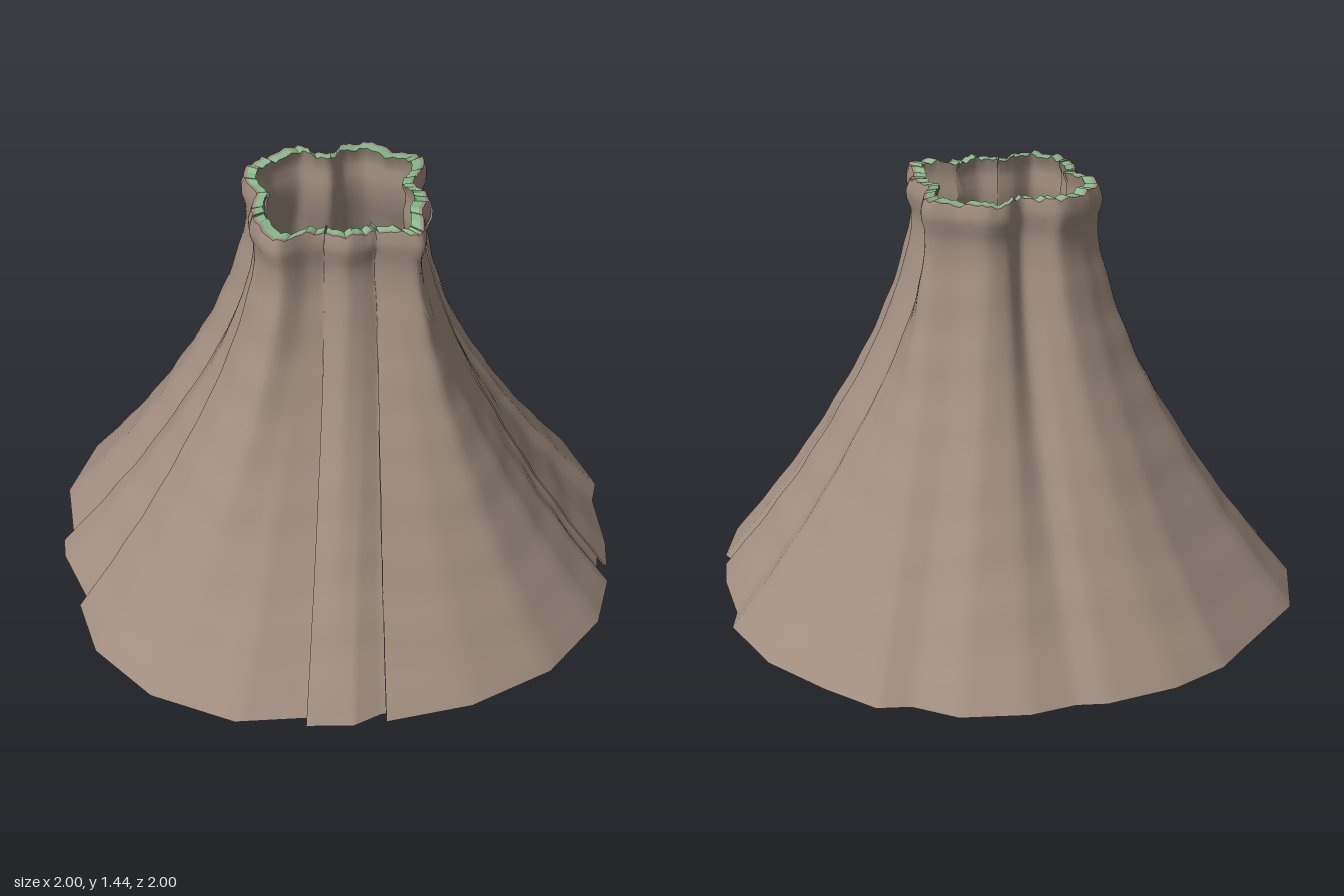
import * as THREE from 'three';
import { toCreasedNormals } from 'three/addons/utils/BufferGeometryUtils.js';

// Outline points, clockwise from the back: rim x, rim z, hem x, hem z, pleat (1 = tucked fold)
const OUTLINE = [
  [0.05, -0.33, 0.12, -1], [0.14, -0.3, 0.27, -0.94], [0.23, -0.28, 0.38, -0.95],
  [0.26, -0.25, 0.55, -0.84], [0.26, -0.18, 0.75, -0.68], [0.25, -0.13, 0.9, -0.45],
  [0.25, -0.1, 0.9, -0.35], [0.29, -0.06, 0.97, -0.13], [0.32, -0.01, 0.99, 0, 1],
  [0.31, 0.06, 1, 0.07], [0.33, 0.14, 0.99, 0.28], [0.33, 0.2, 0.86, 0.55],
  [0.27, 0.21, 0.63, 0.76], [0.19, 0.21, 0.37, 0.89, 1], [0.15, 0.24, 0.27, 0.93],
  [0.1, 0.27, 0.2, 0.945], [0.03, 0.26, 0.12, 0.965, 1], [-0.03, 0.28, -0.11, 0.995],
  [-0.1, 0.335, -0.41, 0.94], [-0.17, 0.29, -0.65, 0.78], [-0.22, 0.22, -0.77, 0.58, 1],
  [-0.24, 0.16, -0.9, 0.35], [-0.24, 0.08, -0.93, 0.27, 1], [-0.3, 0, -1, 0],
  [-0.32, -0.07, -0.98, -0.27], [-0.29, -0.13, -0.8, -0.55], [-0.26, -0.18, -0.72, -0.68],
  [-0.19, -0.25, -0.56, -0.81], [-0.13, -0.24, -0.34, -0.91], [-0.06, -0.23, -0.24, -0.92],
  [-0.02, -0.3, -0.1, -0.98],
];

// Silhouette radius from hem to rim: height, radius
const PROFILE = [
  [0, 1], [0.2, 0.845], [0.4, 0.705], [0.6, 0.585], [0.8, 0.475], [1, 0.39],
  [1.1, 0.358], [1.2, 0.328], [1.28, 0.314], [1.33, 0.316], [1.37, 0.331], [1.4, 0.331], [1.43, 0.32],
];
const SUB = 5, ROWS = 44, TOP = 1.43;

function radiusAt(y) {
  let i = 0;
  while (i < PROFILE.length - 2 && PROFILE[i + 1][0] < y) i++;
  const [y0, r0] = PROFILE[i], [y1, r1] = PROFILE[i + 1];
  return r0 + (r1 - r0) * (y - y0) / (y1 - y0);
}

// Rim and hem rings with matching points; each pleat doubles back beneath its own edge
function makeRings() {
  const rim = [], hem = [];
  const add = (tx, tz, bx, bz, turn = 0, scale = 1) => {
    const c = Math.cos(turn) * scale, s = Math.sin(turn) * scale;
    rim.push(new THREE.Vector3(tx, 0, tz));
    hem.push(new THREE.Vector3(bx * c - bz * s, 0, bx * s + bz * c));
  };
  for (const [tx, tz, bx, bz, pleat] of OUTLINE) {
    add(tx, tz, bx, bz);
    if (pleat) {
      add(tx * 0.985, tz * 0.985, bx, bz, -0.12, 0.962);
      add(tx * 0.98, tz * 0.98, bx, bz, 0.015, 0.965);
    }
  }
  const curve = new THREE.CatmullRomCurve3(rim, true, 'catmullrom', 0.4);
  const n = rim.length, top = [], base = [];
  for (let i = 0; i < n; i++) {
    for (let k = 0; k < SUB; k++) {
      top.push(curve.getPoint((i + k / SUB) / n));
      base.push(hem[i].clone().lerp(hem[(i + 1) % n], k / SUB));
    }
  }
  return { top, base };
}

const { top: RIM, base: HEM } = makeRings();
const COUNT = RIM.length;

// Point on the sheet at ring index i and height y, pulled in by a thickness factor
function sheetPoint(i, y, inset) {
  const r = radiusAt(y), w = Math.max(0, (r - 0.33) / 0.67);
  const neck = Math.min(1, r / 0.33);
  const ripple = 1 + 0.004 * Math.sin(y * 34 + Math.sin(i * 0.12)) * Math.min(1, y * 4);
  const p = RIM[i].clone().lerp(HEM[i], w).multiplyScalar(neck * ripple * (1 - inset));
  const t = Math.max(0, (y - 1.33) / 0.1);
  p.y = y + t * 0.008 * (Math.sin(i * 0.83) * Math.sin(i * 0.29) + 0.5 * Math.sin(i * 2.1));
  return p;
}

// Closed rings joined row by row, listed from outside-top to bottom
function loft(rows, crease) {
  const pos = [], index = [];
  rows.forEach(row => row.forEach(p => pos.push(p.x, p.y, p.z)));
  for (let j = 0; j < rows.length - 1; j++) {
    for (let i = 0; i < COUNT; i++) {
      const a = j * COUNT + i, b = j * COUNT + (i + 1) % COUNT;
      index.push(a, b, a + COUNT, b, b + COUNT, a + COUNT);
    }
  }
  const g = new THREE.BufferGeometry();
  g.setAttribute('position', new THREE.Float32BufferAttribute(pos, 3));
  g.setIndex(index);
  return toCreasedNormals(g, crease);
}

const ring = (y, inset) => RIM.map((_, i) => sheetPoint(i, y, inset));

export function createModel() {
  const brown = new THREE.MeshStandardMaterial({ color: 0xa08e80, side: THREE.DoubleSide });
  brown.name = 'brown';
  const green = new THREE.MeshStandardMaterial({ color: 0x86b98a, side: THREE.DoubleSide });
  green.name = 'green';

  const group = new THREE.Group();
  group.name = 'flaredStump';
  const addMesh = (name, geometry, material) => {
    const mesh = new THREE.Mesh(geometry, material);
    mesh.name = name;
    group.add(mesh);
  };

  // Outer and inner sheets, the inner one thinning out towards the hem
  const outer = [], inner = [];
  for (let j = 0; j <= ROWS; j++) {
    const y = TOP * (1 - j / ROWS);
    outer.push(ring(y, 0));
    inner.unshift(ring(y, 0.008 + 0.13 * Math.pow(y / TOP, 4)));
  }
  addMesh('outerSheet', loft(outer, 0.9), brown);
  addMesh('innerSheet', loft(inner, 0.9), brown);

  // Rim: brown outer lip and green cut edge
  addMesh('rimLip', loft([ring(TOP, 0.04), ring(TOP, 0)], 0.9), brown);
  addMesh('rimCut', loft([ring(TOP, 0.138), ring(TOP, 0.04)], 0.9), green);
  return group;
}
